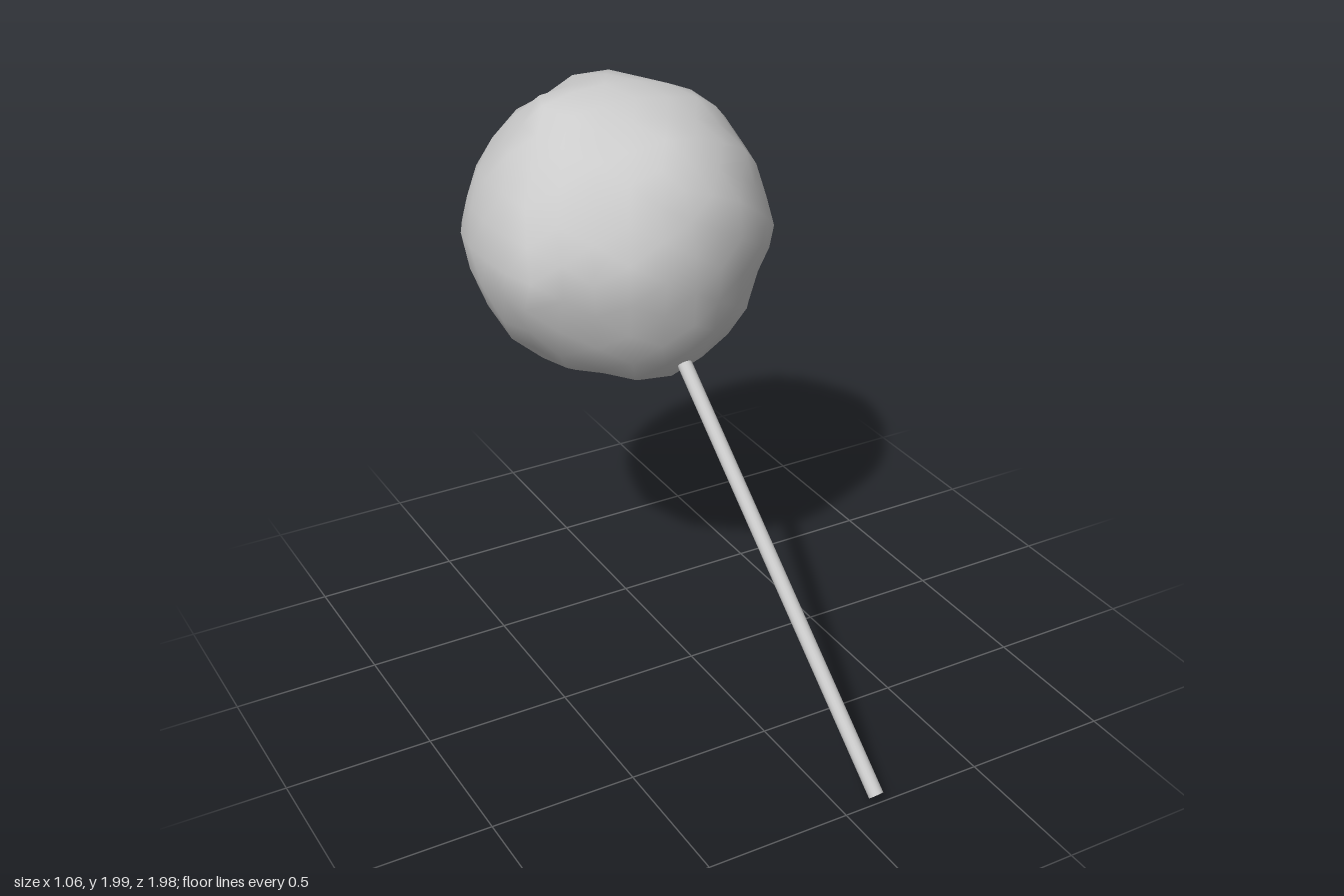
import * as THREE from 'three';
import { mergeVertices } from 'three/addons/utils/BufferGeometryUtils.js';

const CENTRE = new THREE.Vector3(0, 1.49, -0.47);

// Radii of the lumpy ball every 15 degrees around its three great circles
const FRONT = [.525, .51, .5, .5, .5, .487, .495, .512, .55, .515, .53, .515,
  .535, .545, .55, .54, .53, .517, .51, .505, .525, .53, .52, .525]; // from +x to +y
const SIDE = [.51, .49, .5, .52, .53, .507, .5, .475, .48, .51, .5, .505,
  .51, .515, .545, .55, .55, .525, .51, .51, .555, .535, .51, .505]; // from -z to +y
const TOP = [.52, .53, .53, .53, .525, .515, .515, .505, .51, .55, .55, .55,
  .535, .55, .59, .52, .535, .53, .5, .49, .5, .5, .51, .49]; // from +x to -z

function ringRadius(ring, a, b) {
  const t = ((Math.atan2(b, a) / (Math.PI * 2) + 1) % 1) * ring.length;
  const i = Math.floor(t) % ring.length;
  return THREE.MathUtils.lerp(ring[i], ring[(i + 1) % ring.length], t - Math.floor(t));
}

// Blend the three rings by nearness, with shallow dents between them
function ballRadius({ x, y, z }) {
  const rings = [[FRONT, x, y, z], [SIDE, -z, y, x], [TOP, x, -z, y]];
  let sum = 0, total = 0;
  for (const [ring, a, b, off] of rings) {
    const w = 1 / (off * off + 0.02);
    sum += w * ringRadius(ring, a, b);
    total += w;
  }
  const away = Math.min(1, 3 * Math.min(Math.abs(x), Math.abs(y), Math.abs(z)));
  const lumps = Math.sin(7 * x + 4 * y + 1) * Math.sin(6 * y - 5 * z) * Math.cos(6 * z + 3 * x);
  return sum / total + away * (0.03 * lumps - 0.012);
}

function candyGeometry() {
  let geo = new THREE.IcosahedronGeometry(1, 4);
  geo.deleteAttribute('normal');
  geo.deleteAttribute('uv');
  geo = mergeVertices(geo, 1e-4);
  const pos = geo.attributes.position;
  const v = new THREE.Vector3();
  for (let i = 0; i < pos.count; i++) {
    v.fromBufferAttribute(pos, i).normalize();
    v.multiplyScalar(ballRadius(v));
    pos.setXYZ(i, v.x, v.y, v.z);
  }
  geo.computeVertexNormals();
  return geo;
}

export function createModel() {
  const group = new THREE.Group();
  const material = new THREE.MeshStandardMaterial({ color: 0xcccccc });

  // Lumpy candy ball
  const candy = new THREE.Mesh(candyGeometry(), material);
  candy.name = 'candyBall';
  candy.position.copy(CENTRE);
  group.add(candy);

  // Slanting stick, its upper end sunk into the ball
  const foot = new THREE.Vector3(0.125, 0.018, 0.982);
  const head = new THREE.Vector3(0.014, 1.2, -0.16);
  const along = head.clone().sub(foot);
  const stick = new THREE.Mesh(new THREE.CylinderGeometry(0.025, 0.025, along.length(), 16), material);
  stick.name = 'stick';
  stick.position.copy(foot).add(head).multiplyScalar(0.5);
  stick.quaternion.setFromUnitVectors(new THREE.Vector3(0, 1, 0), along.normalize());
  group.add(stick);

  return group;
}
